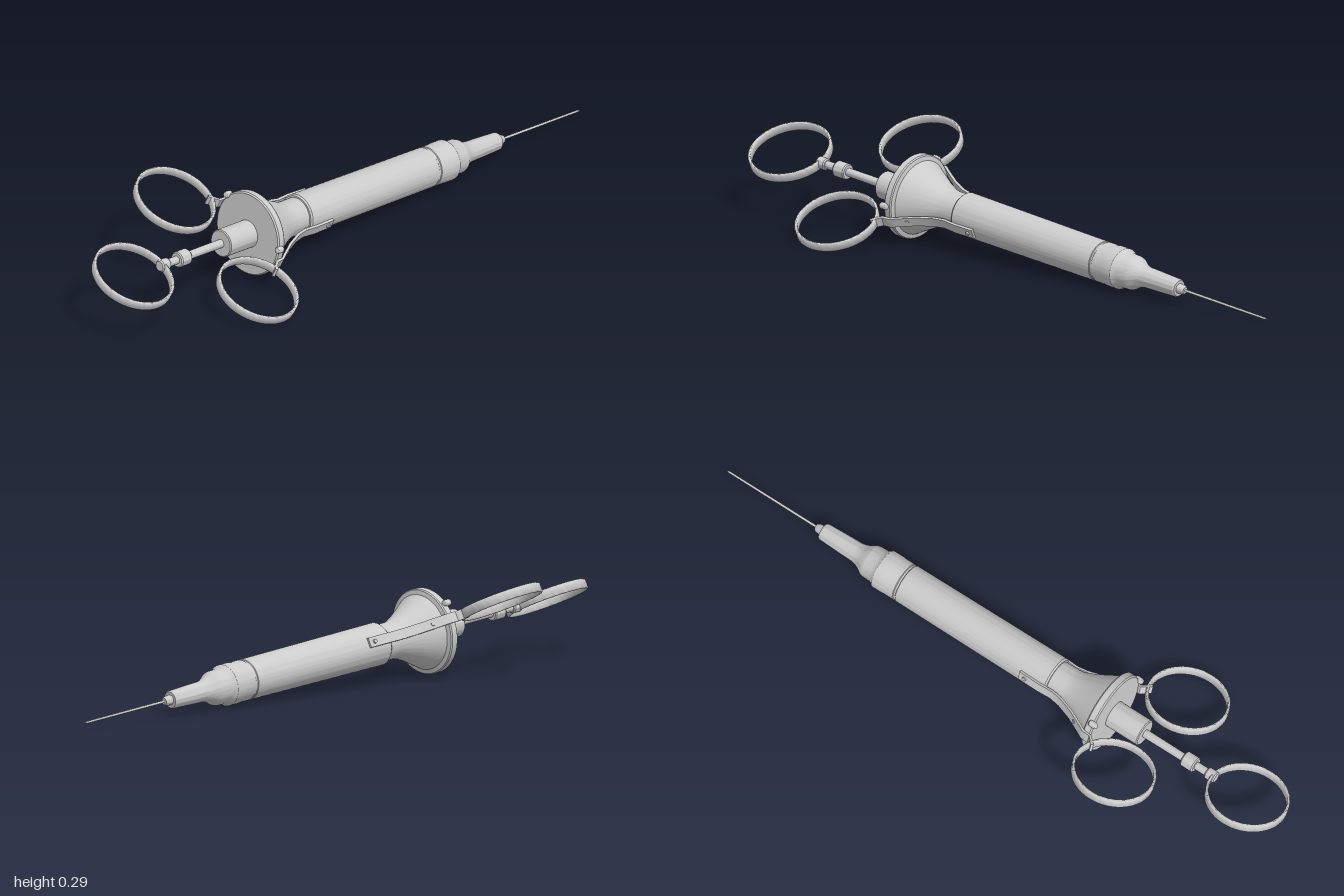
import * as THREE from 'three';
import { toCreasedNormals } from 'three/addons/utils/BufferGeometryUtils.js';

const material = new THREE.MeshStandardMaterial({ color: 0xcccccc });

function addMesh(parent, name, geometry, crease = 0.5) {
  const mesh = new THREE.Mesh(toCreasedNormals(geometry, crease), material);
  mesh.name = name;
  parent.add(mesh);
  return mesh;
}

// Solid of revolution around the long (x) axis, from [x, radius] pairs.
function turned(parent, name, profile, segments = 64) {
  const points = profile.map(([x, r]) => new THREE.Vector2(r, x));
  const geometry = new THREE.LatheGeometry(points, segments).rotateZ(-Math.PI / 2);
  return addMesh(parent, name, geometry);
}

// Flat band bent into a ring, lying in the local xz plane.
function ring(parent, name, x, z) {
  const o = 0.126, i = 0.117, h = 0.015, b = 0.003;
  const section = [
    [i, -h + b], [i + b, -h], [o - b, -h], [o, -h + b],
    [o, h - b], [o - b, h], [i + b, h], [i, h - b], [i, -h + b],
  ].map(([r, y]) => new THREE.Vector2(r, y));
  addMesh(parent, name, new THREE.LatheGeometry(section, 80), 0.9).position.set(x, 0, z);
}

// Bent metal strip following [x, z] points, extruded along y.
function strip(path, thickness, width) {
  const pts = path.map(([x, z]) => new THREE.Vector2(x, z));
  const outer = pts.map((p, i) => {
    const a = pts[Math.max(i - 1, 0)], b = pts[Math.min(i + 1, pts.length - 1)];
    const t = b.clone().sub(a).normalize();
    return new THREE.Vector2(p.x + t.y * thickness, p.y - t.x * thickness);
  });
  const shape = new THREE.Shape([...pts, ...outer.reverse()]);
  const geometry = new THREE.ExtrudeGeometry(shape, { depth: width, bevelEnabled: false });
  return geometry.translate(0, 0, -width / 2).rotateX(Math.PI / 2);
}

export function createModel() {
  const model = new THREE.Group();
  model.name = 'syringe';

  // Local frame: x along the needle, z across the finger rings
  const body = new THREE.Group();
  body.name = 'syringeBody';
  const axis = new THREE.Vector3(1, -0.086, -0.037).normalize();
  const up = new THREE.Vector3(0, -0.41, 0.91).cross(axis).normalize();
  const across = axis.clone().cross(up);
  body.quaternion.setFromRotationMatrix(new THREE.Matrix4().makeBasis(axis, up, across));
  body.position.set(0, 0.0995, -0.02);
  model.add(body);

  // Barrel, nose and needle
  turned(body, 'barrel', [
    [-0.19, 0], [-0.19, 0.06], [-0.185, 0.064], [0.35, 0.061], [0.352, 0.059],
    [0.358, 0.059], [0.36, 0.061], [0.395, 0.061], [0.4, 0.062], [0.435, 0.062],
    [0.445, 0.055], [0.45, 0.053], [0.478, 0.052], [0.488, 0.049], [0.5, 0.041],
    [0.515, 0.034], [0.53, 0.031], [0.57, 0.03], [0.648, 0.027], [0.653, 0.024], [0.653, 0],
  ]);
  turned(body, 'needleHub', [
    [0.645, 0], [0.645, 0.016], [0.67, 0.014], [0.677, 0.01], [0.677, 0],
  ], 32);
  turned(body, 'needle', [[0.67, 0], [0.67, 0.004], [0.99, 0.0035], [1.003, 0]], 16);

  // Flange, cone and rear guide tube
  turned(body, 'flangeCone', [
    [-0.395, 0], [-0.395, 0.124], [-0.391, 0.128], [-0.372, 0.128], [-0.368, 0.125],
    [-0.365, 0.112], [-0.33, 0.093], [-0.29, 0.072], [-0.255, 0.058],
    [-0.235, 0.055], [-0.185, 0.055], [-0.185, 0],
  ], 80);
  turned(body, 'guideTube', [
    [-0.507, 0], [-0.507, 0.039], [-0.504, 0.042], [-0.39, 0.042], [-0.39, 0],
  ]);

  // Plunger rod, collar and end fitting
  turned(body, 'plungerRod', [[-0.74, 0], [-0.74, 0.012], [-0.5, 0.013], [-0.5, 0]], 32);
  turned(body, 'rodCollar', [
    [-0.692, 0], [-0.692, 0.021], [-0.688, 0.024], [-0.652, 0.024], [-0.648, 0.021], [-0.648, 0],
  ], 32);
  turned(body, 'rodEnd', [
    [-0.764, 0], [-0.764, 0.015], [-0.76, 0.018], [-0.734, 0.018], [-0.73, 0.015], [-0.73, 0],
  ], 32);
  ring(body, 'thumbRing', -0.875, 0);

  // Finger rings, each on a bent strip riveted to the barrel and cone
  const path = [
    [-0.1, 0.062], [-0.17, 0.064], [-0.215, 0.061], [-0.25, 0.068], [-0.3, 0.088],
    [-0.352, 0.117], [-0.37, 0.128], [-0.396, 0.13], [-0.408, 0.142], [-0.42, 0.155],
  ];
  for (const side of [1, -1]) {
    const wing = new THREE.Group();
    wing.name = side > 0 ? 'leftFingerGrip' : 'rightFingerGrip';
    // A half turn about the long axis gives the opposite grip
    wing.rotation.x = side > 0 ? 0 : Math.PI;
    body.add(wing);
    ring(wing, 'fingerRing', -0.527, 0.195);
    // Reversed so that the thickness grows outward
    addMesh(wing, 'gripStrip', strip([...path].reverse().map(([x, z]) => [x, z + 0.008]), 0.008, 0.03));
    for (const [x, z, tilt] of [[-0.12, 0.071, 0], [-0.325, 0.108, 0.5]]) {
      const rivet = addMesh(wing, 'rivet',
        new THREE.CylinderGeometry(0.006, 0.007, 0.008, 16).rotateX(Math.PI / 2));
      rivet.position.set(x, 0, z);
      rivet.rotation.y = tilt;
    }
    // Small rounded stud on the flange rim
    const stud = addMesh(body, 'rimStud',
      new THREE.CapsuleGeometry(0.01, 0.012, 6, 16).rotateZ(Math.PI / 2), 1);
    stud.position.set(-0.392, 0.048, side * 0.121);
  }
  return model;
}
